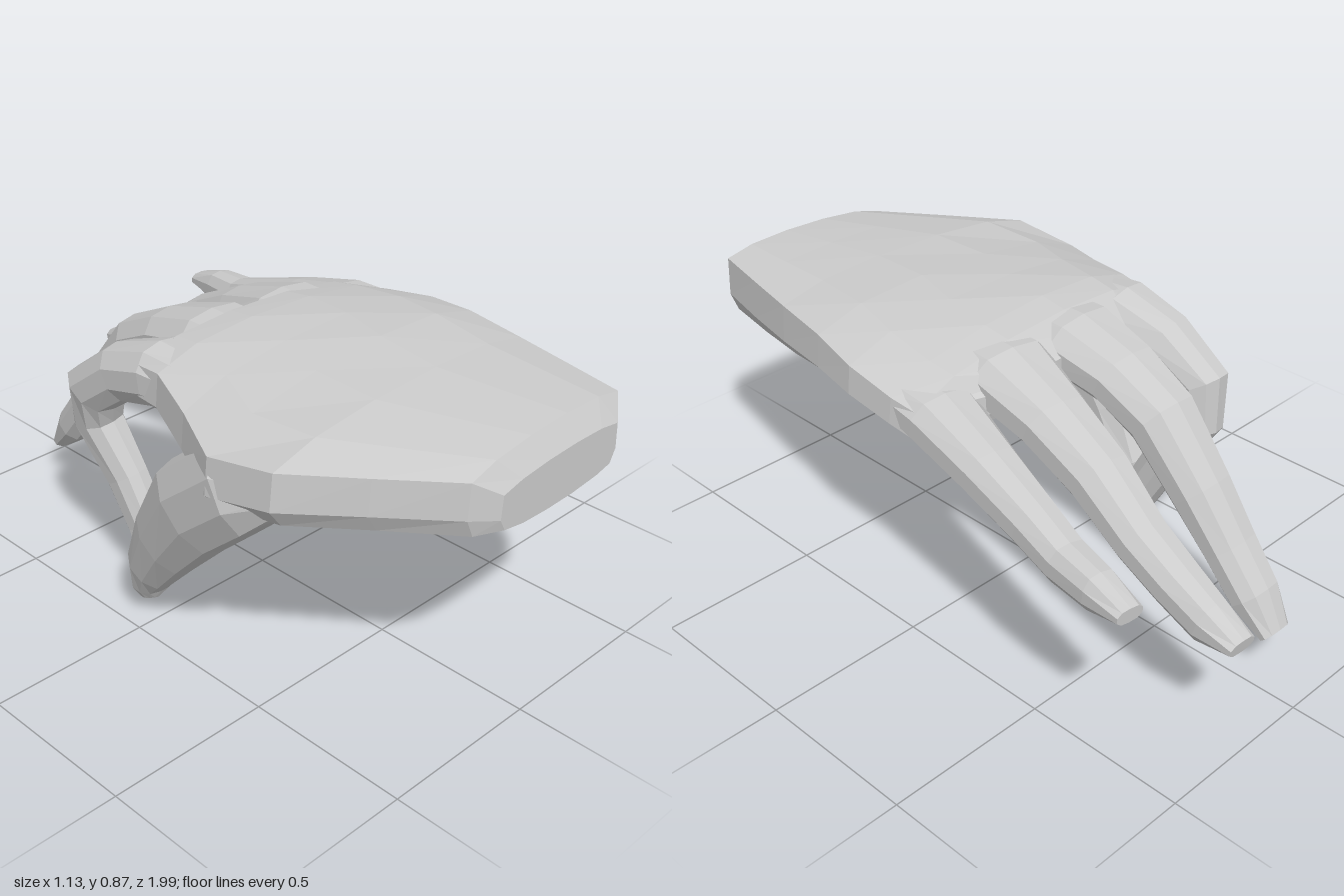
import * as THREE from 'three';

const material = new THREE.MeshStandardMaterial({ color: 0xcccccc, flatShading: true });

// Skin a series of rings (running towards -z) and close both ends
function skin(name, rings) {
  const n = rings[0].length, pos = [], index = [];
  rings.forEach((r) => r.forEach((p) => pos.push(p.x, p.y, p.z)));
  for (let i = 0; i < rings.length - 1; i++) {
    for (let j = 0; j < n; j++) {
      const k = (j + 1) % n;
      const a = i * n + j, b = i * n + k, c = b + n, d = a + n;
      index.push(a, d, c, a, c, b);
    }
  }
  [0, rings.length - 1].forEach((i) => {
    const centre = new THREE.Vector3();
    rings[i].forEach((p) => centre.addScaledVector(p, 1 / n));
    const c = pos.length / 3;
    pos.push(centre.x, centre.y, centre.z);
    for (let j = 0; j < n; j++) {
      const a = i * n + j, b = i * n + (j + 1) % n;
      if (i === 0) index.push(c, a, b); else index.push(c, b, a);
    }
  });
  const geometry = new THREE.BufferGeometry();
  geometry.setAttribute('position', new THREE.Float32BufferAttribute(pos, 3));
  geometry.setIndex(index);
  geometry.computeVertexNormals();
  const mesh = new THREE.Mesh(geometry, material);
  mesh.name = name;
  return mesh;
}

// Ten-sided finger; each station is x, y, z, half width, half thickness
const OUTLINE = [[1, 0.35], [0.65, 0.88], [0, 1], [-0.65, 0.88], [-1, 0.35],
  [-1, -0.35], [-0.65, -0.88], [0, -1], [0.65, -0.88], [1, -0.35]];
function digit(name, stations) {
  const pts = stations.map((s) => new THREE.Vector3(s[0], s[1], s[2]));
  const rings = stations.map((s, i) => {
    const t = new THREE.Vector3();
    if (i > 0) t.add(pts[i].clone().sub(pts[i - 1]).normalize());
    if (i < pts.length - 1) t.add(pts[i + 1].clone().sub(pts[i]).normalize());
    t.normalize();
    const side = new THREE.Vector3(1, 0, 0).addScaledVector(t, -t.x).normalize();
    const up = side.clone().cross(t);
    return OUTLINE.map(([u, v]) => pts[i].clone().addScaledVector(side, u * s[3]).addScaledVector(up, v * s[4]));
  });
  return skin(name, rings);
}

// Palm section: crowned back, bevelled edges, softly curved underside
function palmRing([z, xL, xR, topL, top, topR, botL, bot, botR]) {
  const ring = [];
  const curve = (l, m, r, t) => {
    const u = Math.abs(2 * t - 1);
    return THREE.MathUtils.lerp(l, r, t) + (m - (l + r) / 2) * (1 - u * u * u);
  };
  const add = (t, y) => ring.push(new THREE.Vector3(THREE.MathUtils.lerp(xL, xR, t), y, z));
  add(1, THREE.MathUtils.lerp(botR, topR, 0.3));
  add(0.99, topR);
  [0.84, 0.62, 0.38, 0.16].forEach((t) => add(t, curve(topL, top, topR, t)));
  add(0.01, topL);
  add(0, THREE.MathUtils.lerp(botL, topL, 0.3));
  [0.04, 0.2, 0.4, 0.62, 0.84, 0.96].forEach((t) => add(t, curve(botL, bot, botR, t)));
  return ring;
}

export function createModel() {
  const hand = new THREE.Group();
  hand.name = 'hand';

  // z, left x, right x, then back heights and underside heights
  hand.add(skin('palm', [
    [0.995, -0.16, 0.32, 0.75, 0.78, 0.77, 0.65, 0.63, 0.66],
    [0.955, -0.24, 0.37, 0.80, 0.848, 0.83, 0.65, 0.61, 0.66],
    [0.77, -0.39, 0.41, 0.795, 0.855, 0.83, 0.645, 0.615, 0.66],
    [0.58, -0.54, 0.45, 0.79, 0.863, 0.83, 0.635, 0.615, 0.67],
    [0.37, -0.565, 0.49, 0.76, 0.872, 0.83, 0.60, 0.655, 0.69],
    [0.20, -0.49, 0.52, 0.79, 0.876, 0.81, 0.64, 0.695, 0.69],
    [0.03, -0.43, 0.52, 0.82, 0.872, 0.78, 0.68, 0.69, 0.67],
    [-0.06, -0.42, 0.51, 0.81, 0.86, 0.765, 0.68, 0.68, 0.65],
    [-0.15, -0.36, 0.24, 0.75, 0.785, 0.76, 0.70, 0.69, 0.69],
  ].map(palmRing)));

  hand.add(digit('thumb', [
    [-0.38, 0.70, 0.58, 0.10, 0.04],
    [-0.45, 0.65, 0.385, 0.115, 0.14],
    [-0.455, 0.51, 0.22, 0.10, 0.142],
    [-0.435, 0.33, 0.08, 0.085, 0.112],
    [-0.415, 0.18, -0.02, 0.072, 0.08],
    [-0.41, 0.09, -0.05, 0.055, 0.045],
    [-0.42, 0.058, -0.04, 0.025, 0.02],
  ]));

  hand.add(digit('indexFinger', [
    [-0.31, 0.765, 0.12, 0.10, 0.07],
    [-0.32, 0.76, -0.06, 0.105, 0.09],
    [-0.335, 0.715, -0.21, 0.09, 0.085],
    [-0.35, 0.62, -0.335, 0.077, 0.088],
    [-0.335, 0.505, -0.352, 0.068, 0.072],
    [-0.315, 0.34, -0.255, 0.057, 0.064],
    [-0.305, 0.20, -0.18, 0.056, 0.06],
    [-0.312, 0.09, -0.125, 0.053, 0.05],
    [-0.318, 0.012, -0.115, 0.04, 0.022],
  ]));

  hand.add(digit('middleFinger', [
    [-0.09, 0.785, 0.12, 0.13, 0.075],
    [-0.09, 0.775, -0.1, 0.135, 0.088],
    [-0.09, 0.73, -0.27, 0.115, 0.082],
    [-0.085, 0.655, -0.42, 0.102, 0.085],
    [-0.085, 0.485, -0.57, 0.09, 0.075],
    [-0.09, 0.345, -0.68, 0.082, 0.064],
    [-0.09, 0.23, -0.775, 0.076, 0.06],
    [-0.09, 0.138, -0.855, 0.053, 0.026],
  ]));

  hand.add(digit('ringFinger', [
    [0.165, 0.78, 0.12, 0.13, 0.075],
    [0.175, 0.765, -0.08, 0.135, 0.088],
    [0.20, 0.705, -0.28, 0.105, 0.08],
    [0.215, 0.62, -0.46, 0.09, 0.077],
    [0.235, 0.51, -0.63, 0.077, 0.068],
    [0.24, 0.44, -0.76, 0.07, 0.065],
    [0.25, 0.39, -0.88, 0.06, 0.062],
    [0.255, 0.37, -0.99, 0.046, 0.022],
  ]));

  hand.add(digit('littleFinger', [
    [0.405, 0.75, 0.12, 0.10, 0.055],
    [0.41, 0.72, -0.06, 0.108, 0.078],
    [0.445, 0.66, -0.28, 0.085, 0.073],
    [0.47, 0.60, -0.47, 0.07, 0.066],
    [0.49, 0.56, -0.6, 0.062, 0.062],
    [0.51, 0.55, -0.73, 0.054, 0.056],
    [0.525, 0.543, -0.845, 0.041, 0.022],
  ]));

  return hand;
}
